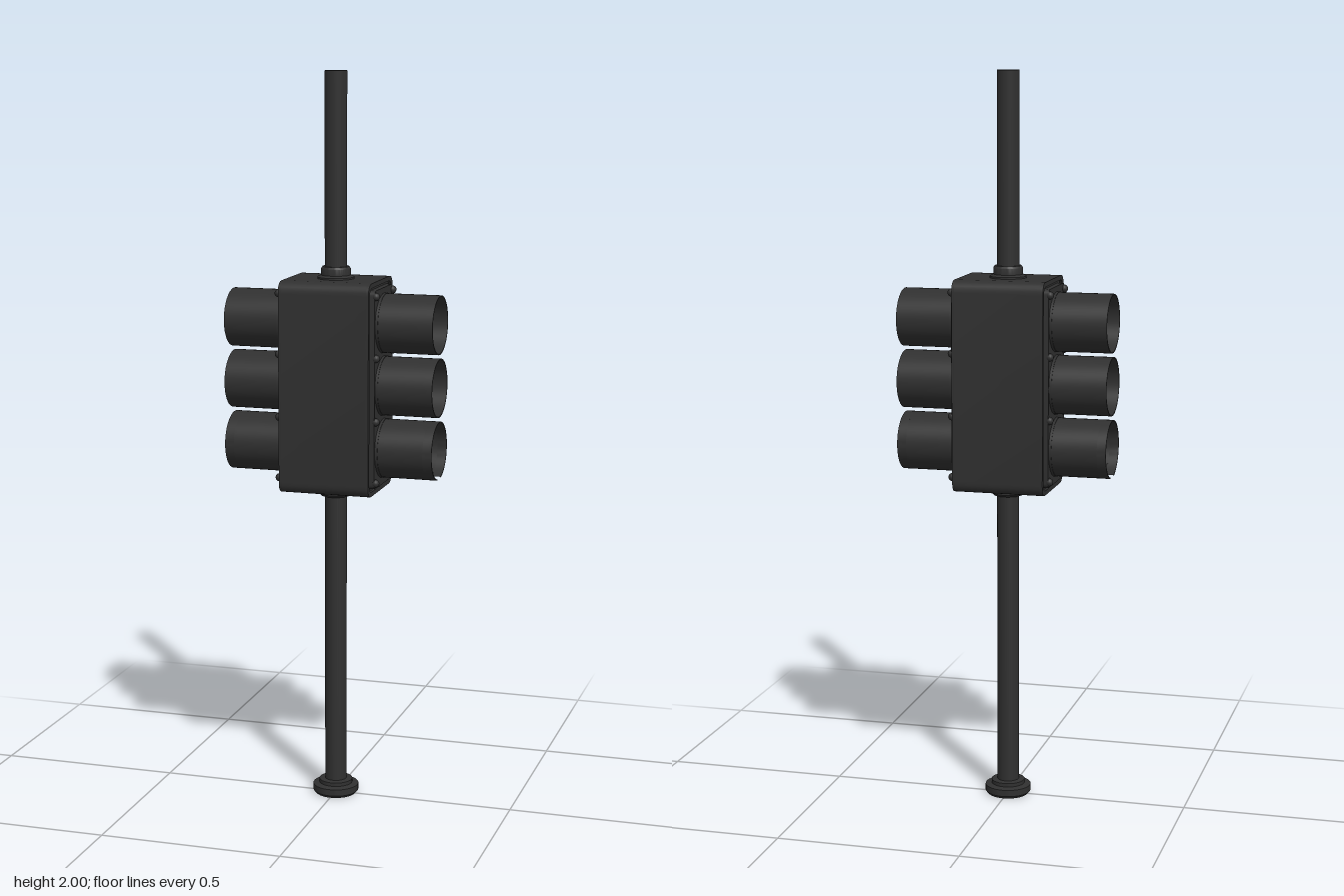
import * as THREE from 'three';
import { toCreasedNormals } from 'three/addons/utils/BufferGeometryUtils.js';

const mat = (name, color) => {
  const m = new THREE.MeshStandardMaterial({ color });
  m.name = name;
  return m;
};

const lathe = (points, segments = 40, start = 0, length = Math.PI * 2) => toCreasedNormals(
  new THREE.LatheGeometry(points.map(([r, y]) => new THREE.Vector2(r, y)), segments, start, length), 0.6);

// Rounded rectangle drawn in the z-y plane
function roundedRect(w, h, r, Type = THREE.Shape) {
  const s = new Type(), x = w / 2, y = h / 2;
  s.moveTo(-x + r, -y);
  s.lineTo(x - r, -y);
  s.quadraticCurveTo(x, -y, x, -y + r);
  s.lineTo(x, y - r);
  s.quadraticCurveTo(x, y, x - r, y);
  s.lineTo(-x + r, y);
  s.quadraticCurveTo(-x, y, -x, y - r);
  s.lineTo(-x, -y + r);
  s.quadraticCurveTo(-x, -y, -x + r, -y);
  return s;
}

// Extrudes a shape along +x, starting at x0
function extrudeX(shape, x0, depth) {
  const g = new THREE.ExtrudeGeometry(shape, { depth, bevelEnabled: false, curveSegments: 6 });
  g.rotateY(Math.PI / 2).translate(x0, 0, 0);
  return toCreasedNormals(g, 0.6);
}

export function createModel() {
  const black = mat('black metal', 0x303030);
  const grey = mat('grey lens', 0x868686);
  const olive = mat('olive green lens', 0x7e8850);
  const model = new THREE.Group();
  model.name = 'trafficLight';

  const add = (parent, name, geometry, material, x = 0, y = 0, z = 0) => {
    const mesh = new THREE.Mesh(geometry, material);
    mesh.name = name;
    mesh.position.set(x, y, z);
    parent.add(mesh);
    return mesh;
  };

  // Pole, stepped foot and collars
  add(model, 'pole', new THREE.CylinderGeometry(0.03, 0.03, 1.98, 32), black, 0, 1.01);
  add(model, 'foot', lathe([[0, 0], [0.056, 0], [0.063, 0.008], [0.063, 0.026],
    [0.046, 0.03], [0.046, 0.04], [0.03, 0.042]]), black);
  add(model, 'topCollar', lathe([[0.05, 0], [0.05, 0.008], [0.04, 0.013],
    [0.04, 0.03], [0.036, 0.036], [0.03, 0.036]]), black, 0, 1.447);
  add(model, 'bottomCollar', lathe([[0.03, 0], [0.04, 0], [0.045, 0.006], [0.045, 0.026]]), black, 0, 0.855);

  // Housing with a raised lip around each open face
  const midY = 1.163;
  add(model, 'housing', extrudeX(roundedRect(0.236, 0.575, 0.032), -0.118, 0.236), black, 0, midY);
  const lip = roundedRect(0.236, 0.575, 0.032);
  lip.holes.push(roundedRect(0.212, 0.55, 0.026, THREE.Path));
  const lipGeo = extrudeX(lip, 0.118, 0.007);

  const doorGeo = extrudeX(roundedRect(0.18, 0.535, 0.015), 0.117, 0.017);
  const knobGeo = new THREE.SphereGeometry(0.011, 16, 10);
  const lensGeo = new THREE.SphereGeometry(0.076, 32, 12, 0, Math.PI * 2, 0, Math.PI / 2);
  lensGeo.scale(1, 0.5, 1).rotateZ(-Math.PI / 2);

  // Hoods are hollow tubes; the lowest has a notch under its rim
  const ring = (a, b, rIn, rOut) => [[rIn, a], [rOut, a], [rOut, b], [rIn, b], [rIn, a]];
  const hood = (pts, slot = 0) =>
    lathe(pts, 48, Math.PI / 2 + slot, Math.PI * 2 - 2 * slot).rotateZ(-Math.PI / 2).scale(1, 0.94, 1);
  const baseRing = hood(ring(0.132, 0.141, 0.074, 0.086));
  const fullHood = hood(ring(0.132, 0.29, 0.081, 0.0845));
  const shortHood = hood(ring(0.132, 0.265, 0.081, 0.0845));
  const notchedEnd = hood(ring(0.265, 0.29, 0.081, 0.0845), 0.22);

  // Two matching signal faces, turned to either side
  for (const side of ['left', 'right']) {
    const face = new THREE.Group();
    face.name = side + 'SignalFace';
    face.rotation.y = side === 'left' ? 0 : Math.PI;
    model.add(face);
    add(face, 'lip', lipGeo, black, 0, midY);
    add(face, 'door', doorGeo, black, 0, midY);
    [1.335, 1.165, 0.994].forEach((y, i) => {
      add(face, 'lens', lensGeo, i === 0 ? olive : grey, 0.134, y);
      add(face, 'hoodRing', baseRing, black, 0, y);
      add(face, 'hood', i === 2 ? shortHood : fullHood, black, 0, y);
      if (i === 2) add(face, 'hoodRim', notchedEnd, black, 0, y);
    });
    // Hinge and latch knobs along the door edges
    for (const z of [-0.081, 0.081])
      for (const y of [0.912, 1.079, 1.25, 1.415]) add(face, 'doorKnob', knobGeo, black, 0.135, y, z);
  }
  return model;
}
